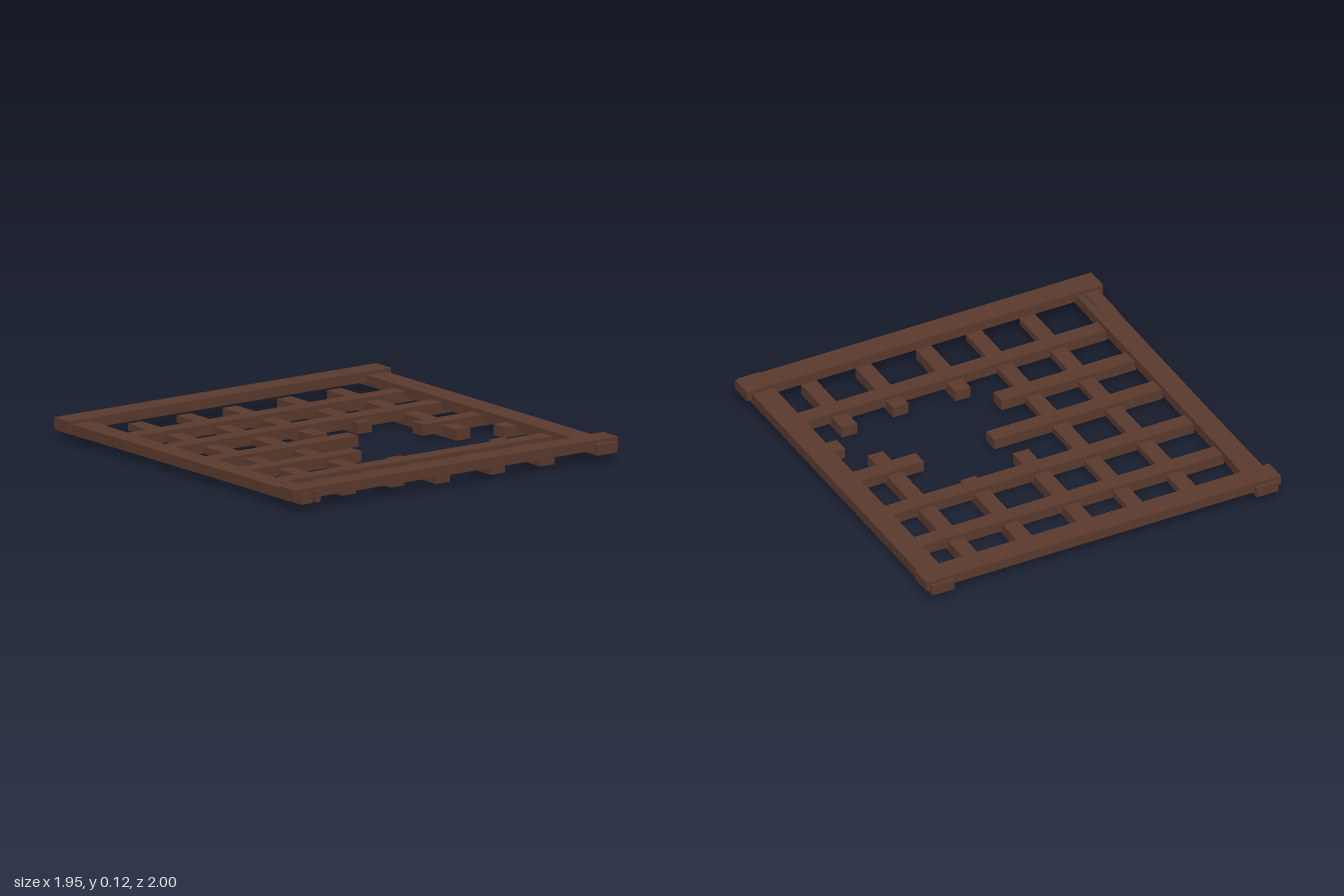
import * as THREE from 'three';

export function createModel() {
  const root = new THREE.Group();
  const wood = new THREE.MeshStandardMaterial({ color: 0x5b3a2d });
  wood.name = 'dark wood';

  // A beam given by its extents on each axis
  function beam(name, x0, x1, y0, y1, z0, z1) {
    const mesh = new THREE.Mesh(new THREE.BoxGeometry(x1 - x0, y1 - y0, z1 - z0), wood);
    mesh.position.set((x0 + x1) / 2, (y0 + y1) / 2, (z0 + z1) / 2);
    mesh.name = name;
    root.add(mesh);
  }

  // Outer frame: end rails lie over the side rails
  beam('backRail', -0.97, 0.965, 0.065, 0.115, -0.98, -0.862);
  beam('frontRail', -0.975, 0.97, 0.065, 0.115, 0.85, 0.97);
  beam('leftRail', 0.822, 0.942, 0.045, 0.097, -1, 1);

  // Right side rail with a split at its front end (outline in x, z)
  const outline = [
    [-0.947, -1], [-0.828, -1], [-0.828, -0.75], [-0.833, -0.7], [-0.833, 0.15],
    [-0.83, 0.6], [-0.83, 0.99], [-0.857, 0.99], [-0.865, 0.84], [-0.87, 0.68],
    [-0.876, 0.77], [-0.868, 0.84], [-0.88, 0.99], [-0.947, 0.99], [-0.947, 0.66],
    [-0.942, 0.6], [-0.942, -0.4],
  ];
  const shape = new THREE.Shape(outline.map(([x, z]) => new THREE.Vector2(x, -z)));
  const railGeometry = new THREE.ExtrudeGeometry(shape, { depth: 0.052, bevelEnabled: false });
  railGeometry.rotateX(-Math.PI / 2);
  const splitRail = new THREE.Mesh(railGeometry, wood);
  splitRail.position.y = 0.045;
  splitRail.name = 'splitRightRail';
  root.add(splitRail);

  // Upper slats: z centre, then x spans (broken slats have two)
  const h = 0.042;
  const crossSlats = [
    [-0.6, [-0.84, 0.9]],
    [-0.3, [-0.84, 0.9]],
    [0.027, [-0.84, 0.08], [0.465, 0.9]],
    [0.303, [-0.84, -0.107], [0.748, 0.9]],
    [0.593, [-0.84, 0.9]],
  ];
  for (const [z, ...spans] of crossSlats)
    for (const [a, b] of spans) beam('crossSlat', a, b, 0.02, 0.075, z - h, z + h);

  // Lower slats: x centre, bottom height, then z spans
  const longSlats = [
    [-0.568, 0.02, [-0.865, 0.865]],
    [-0.277, 0.02, [-0.865, 0.865]],
    [-0.002, 0, [-0.865, -0.13], [0.46, 0.865]],
    [0.327, 0, [-0.865, -0.212], [0.48, 0.865]],
    [0.625, 0, [-0.865, 0.182], [0.445, 0.865]],
  ];
  for (const [x, bottom, ...spans] of longSlats)
    for (const [a, b] of spans) beam('longSlat', x - h, x + h, bottom, 0.055, a, b);

  return root;
}
